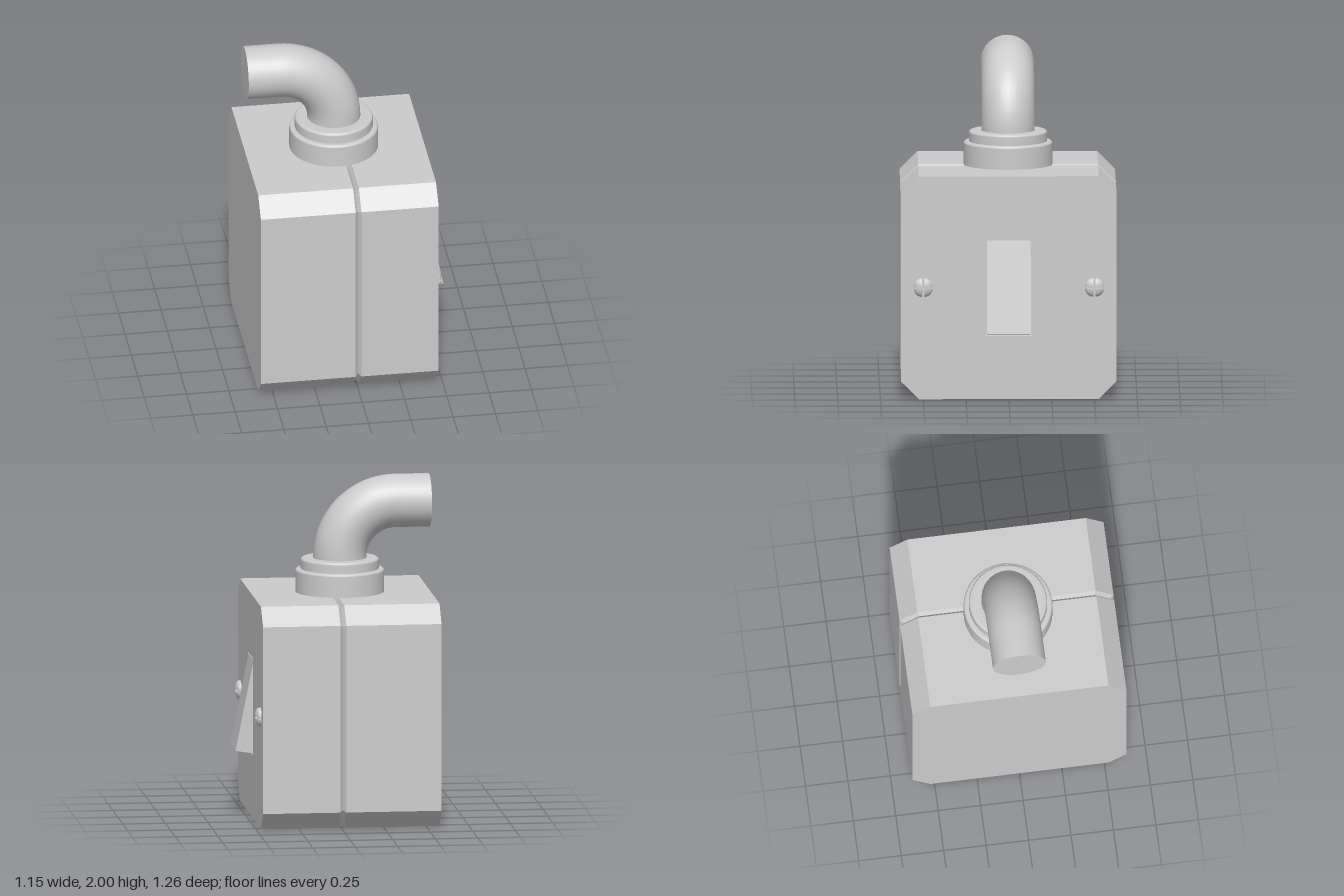
import * as THREE from 'three';

const material = new THREE.MeshStandardMaterial({ color: 0xcccccc, side: THREE.DoubleSide });
const flatMaterial = new THREE.MeshStandardMaterial({ color: 0xcccccc, flatShading: true });

const BACK = -0.58, FACE = 0.47, HEIGHT = 1.315, HALF = 0.63, CHAMFER = 0.105;
const COLLAR_X = -0.055;

function mesh(name, geometry, mat = material) {
  const m = new THREE.Mesh(geometry, mat);
  m.name = name;
  return m;
}

// Chamfered square outline, counter-clockwise, optionally shrunk by an inset
function outline(inset = 0) {
  const w = HALF - inset, b = inset, t = HEIGHT - inset, c = CHAMFER - 0.586 * inset;
  return [[w - c, b], [w, b + c], [w, t - c], [w - c, t], [c - w, t], [-w, t - c], [-w, b + c], [c - w, b]]
    .map(([x, y]) => new THREE.Vector2(x, y));
}

// Side walls swept along the box, with a V groove where the halves meet
function wallsGeometry() {
  const stations = [[BACK, 0], [-0.02, 0], [-0.003, 0.025], [0.014, 0], [FACE, 0]];
  const rings = stations.map(([x, inset]) => outline(inset).map(p => [x, p.y, -p.x]));
  const positions = [];
  for (let k = 0; k < rings.length - 1; k++) {
    for (let i = 0; i < 8; i++) {
      const j = (i + 1) % 8;
      const [a, b, c, d] = [rings[k][i], rings[k][j], rings[k + 1][j], rings[k + 1][i]];
      positions.push(...a, ...b, ...c, ...a, ...c, ...d);
    }
  }
  const g = new THREE.BufferGeometry();
  g.setAttribute('position', new THREE.Float32BufferAttribute(positions, 3));
  g.computeVertexNormals();
  return g;
}

function createHousing() {
  const group = new THREE.Group();
  group.name = 'housing';
  group.add(mesh('walls', wallsGeometry(), flatMaterial));

  const back = new THREE.ShapeGeometry(new THREE.Shape(outline()));
  group.add(mesh('backPlate', back.rotateY(-Math.PI / 2).translate(BACK, 0, 0)));

  // Face plate with the switch opening
  const face = new THREE.Shape(outline());
  face.holes.push(new THREE.Path([[-0.135, 0.373], [-0.135, 0.945], [0.135, 0.945], [0.135, 0.373]]
    .map(([x, y]) => new THREE.Vector2(x, y))));
  group.add(mesh('facePlate', new THREE.ShapeGeometry(face).rotateY(Math.PI / 2).translate(FACE, 0, 0)));

  // Inside of the opening: a box without its outer side
  const pocket = new THREE.BoxGeometry(0.06, 0.572, 0.27);
  pocket.setIndex(Array.from(pocket.index.array).slice(6));
  group.add(mesh('switchPocket', pocket.translate(FACE - 0.03, 0.659, 0)));
  return group;
}

// Tilted wedge rocker
function createRocker() {
  const profile = new THREE.Shape([[0.573, 0.4], [0.467, 0.935], [0.415, 0.925], [0.415, 0.375]]
    .map(([x, y]) => new THREE.Vector2(x, y)));
  const g = new THREE.ExtrudeGeometry(profile, { depth: 0.256, bevelEnabled: false });
  return mesh('rockerSwitch', g.translate(0, 0, -0.128), flatMaterial);
}

// Domed cross-head screw: four quarter domes around a cross-shaped slot
function createScrew(z) {
  const group = new THREE.Group();
  group.name = 'screw';
  const slot = 0.006, r = 0.049;
  const profile = [[r, 0], [r, 0.008], [0.044, 0.018], [0.032, 0.026], [0.016, 0.031], [0, 0.032]]
    .map(([x, y]) => new THREE.Vector2(x, y));
  const wall = new THREE.Shape([new THREE.Vector2(0, 0), ...profile]);
  for (let q = 0; q < 4; q++) {
    const quarter = new THREE.Group();
    quarter.name = 'screwQuarter';
    const parts = [
      new THREE.LatheGeometry(profile, 8, 0, Math.PI / 2),
      new THREE.ShapeGeometry(wall),
      new THREE.ShapeGeometry(wall).rotateY(-Math.PI / 2),
    ];
    parts.forEach((g, i) => quarter.add(mesh(i ? 'slotWall' : 'dome', g.translate(slot, 0, slot))));
    quarter.rotation.y = q * Math.PI / 2;
    group.add(quarter);
  }
  group.add(mesh('slotFloor', new THREE.CylinderGeometry(0.05, 0.05, 0.014, 24).translate(0, 0.007, 0)));
  group.rotation.z = -Math.PI / 2;
  group.position.set(FACE, 0.66, z);
  return group;
}

// Ring with a softened upper rim
function createCollar(name, radius, y0, y1) {
  const e = 0.015, points = [new THREE.Vector2(radius, y0), new THREE.Vector2(radius, y0)];
  for (let i = 0; i <= 4; i++) {
    const a = i / 4 * Math.PI / 2;
    points.push(new THREE.Vector2(radius - e + e * Math.cos(a), y1 - e + e * Math.sin(a)));
  }
  points.push(new THREE.Vector2(radius - 0.03, y1), new THREE.Vector2(0, y1));
  return mesh(name, new THREE.LatheGeometry(points, 40).translate(COLLAR_X, 0, 0));
}

// Conduit rising from the collar and bending to the right
function createConduit() {
  const group = new THREE.Group();
  group.name = 'conduit';
  const bend = 0.325, k = bend * 0.5523, y0 = 1.52, top = y0 + bend, x1 = COLLAR_X - bend;
  const v = (x, y) => new THREE.Vector3(x, y, 0);
  const path = new THREE.CurvePath();
  path.add(new THREE.LineCurve3(v(COLLAR_X, 1.4), v(COLLAR_X, y0)));
  path.add(new THREE.CubicBezierCurve3(v(COLLAR_X, y0), v(COLLAR_X, y0 + k), v(x1 + k, top), v(x1, top)));
  path.add(new THREE.LineCurve3(v(x1, top), v(BACK, top)));
  group.add(mesh('pipe', new THREE.TubeGeometry(path, 28, 0.156, 32)));
  group.add(mesh('pipeEnd', new THREE.CircleGeometry(0.156, 32).rotateY(-Math.PI / 2).translate(BACK, top, 0)));
  return group;
}

export function createModel() {
  const model = new THREE.Group();
  model.name = 'switchBox';
  model.add(
    createHousing(),
    createRocker(),
    createScrew(0.5),
    createScrew(-0.5),
    createCollar('lowerCollar', 0.26, HEIGHT - 0.03, 1.452),
    createCollar('upperCollar', 0.229, 1.44, 1.515),
    createConduit(),
  );
  return model;
}
